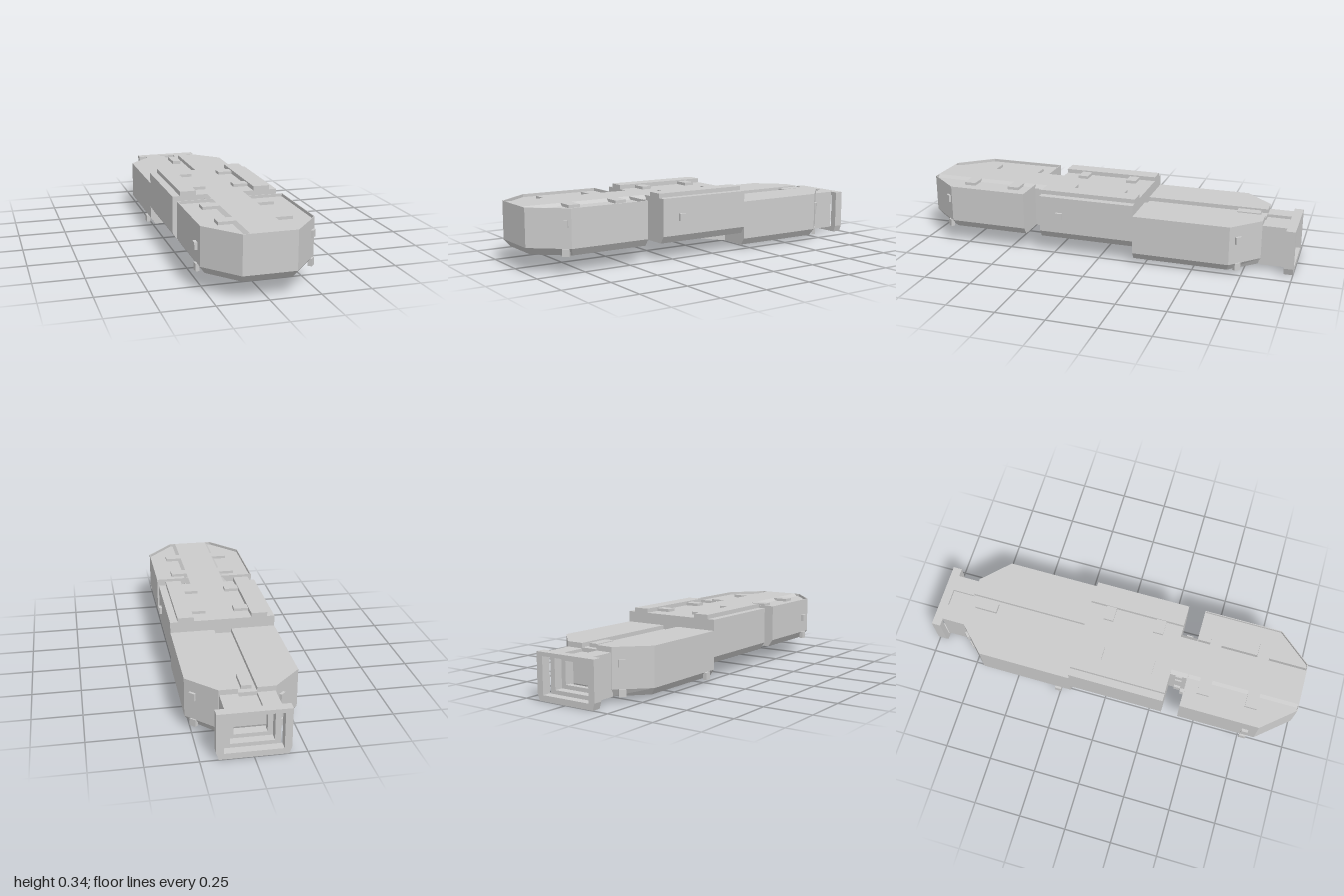
import * as THREE from 'three';

const mat = new THREE.MeshStandardMaterial({ color: 0xcccccc, flatShading: true, side: THREE.DoubleSide });

export function createModel() {
  const model = new THREE.Group();
  const add = (name, geo) => {
    const m = new THREE.Mesh(geo, mat);
    m.name = name;
    model.add(m);
    return m;
  };
  const box = (name, x0, x1, y0, y1, z0, z1) =>
    add(name, new THREE.BoxGeometry(x1 - x0, y1 - y0, z1 - z0)
      .translate((x0 + x1) / 2, (y0 + y1) / 2, (z0 + z1) / 2));

  // Closed body from horizontal [y, outline] rings, listed bottom to top
  const loft = (name, rings) => {
    const n = rings[0][1].length, pos = [], idx = [];
    for (const [y, pts] of rings) for (const [x, z] of pts) pos.push(x, y, z);
    for (let k = 0; k < rings.length - 1; k++)
      for (let i = 0; i < n; i++) {
        const a = k * n + i, b = k * n + (i + 1) % n;
        idx.push(a, a + n, b, b, a + n, b + n);
      }
    const t = (rings.length - 1) * n;
    for (let i = 1; i < n - 1; i++) idx.push(0, i, i + 1, t, t + i + 1, t + i);
    const g = new THREE.BufferGeometry();
    g.setAttribute('position', new THREE.Float32BufferAttribute(pos, 3));
    g.setIndex(idx);
    const flat = g.toNonIndexed();
    flat.computeVertexNormals();
    return add(name, flat);
  };
  const front = (w, tipW, zSide, zTip, zBack = 0.41) =>
    [[w, zBack], [w, zSide], [tipW, zTip], [-tipW, zTip], [-w, zSide], [-w, zBack]];
  const rear = (w, tipW, zSide, zTip) =>
    [[w, zSide], [w, -0.19], [-w, -0.19], [-w, zSide], [-tipW, zTip], [tipW, zTip]];
  const rect = (x0, x1, z0, z1) => [[x1, z0], [x1, z1], [x0, z1], [x0, z0]];

  // Front section with a sunken deck inside a thin rim
  const nose = front(0.275, 0.13, 0.83, 1), deck = front(0.271, 0.128, 0.828, 0.996, 0.414);
  loft('frontBody', [[0.088, front(0.25, 0.118, 0.815, 0.97)], [0.125, nose],
    [0.318, nose], [0.318, deck], [0.303, deck]]);
  loft('centreStrip', [[0.3, rect(-0.115, 0.115, 0.3, 0.998)], [0.318, rect(-0.095, 0.095, 0.3, 0.998)]]);
  box('neck', -0.11, 0.11, 0.088, 0.303, 0.3, 0.43);

  // Middle section
  const mid = rect(-0.275, 0.275, -0.19, 0.32);
  loft('middleBody', [[0.088, rect(-0.25, 0.25, -0.19, 0.32)], [0.125, mid], [0.318, mid]]);

  // Sloping underside between the middle and rear sections
  const ramp = new THREE.Shape([[-0.18, 0.09], [0.19, 0.024], [0.19, 0.09]].map(p => new THREE.Vector2(...p)));
  add('underRamp', new THREE.ExtrudeGeometry(ramp, { depth: 0.22, bevelEnabled: false })
    .rotateY(Math.PI / 2).translate(-0.11, 0, 0));

  // Rear section with a channel along the top
  const hull = rear(0.275, 0.135, -0.69, -0.83);
  loft('rearBody', [[0.024, rear(0.25, 0.123, -0.68, -0.815)], [0.06, hull], [0.24, hull]]);
  const half = [[0.275, -0.69], [0.275, -0.19], [0.045, -0.19], [0.045, -0.83], [0.135, -0.83]];
  loft('rearTopLeft', [[0.24, half], [0.261, half]]);
  const mirrored = half.map(([x, z]) => [-x, z]).reverse();
  loft('rearTopRight', [[0.24, mirrored], [0.261, mirrored]]);
  box('channelLatch', -0.025, 0.025, 0.24, 0.259, -0.8, -0.68);

  // Hollow tail connector and its flange
  const frame = (name, outline, w, y0, y1, z0, z1) => {
    const s = new THREE.Shape(outline.map(p => new THREE.Vector2(...p)));
    s.holes.push(new THREE.Path([[-w, y0], [-w, y1], [w, y1], [w, y0]].map(p => new THREE.Vector2(...p))));
    add(name, new THREE.ExtrudeGeometry(s, { depth: z1 - z0, bevelEnabled: false }).translate(0, 0, z0));
  };
  frame('tailConnector', [[-0.132, 0.025], [0.132, 0.025], [0.132, 0.235], [0.045, 0.235], [0.045, 0.22],
    [-0.045, 0.22], [-0.045, 0.235], [-0.132, 0.235]], 0.105, 0.05, 0.205, -0.955, -0.82);
  frame('tailInnerFrame', [[-0.11, 0.04], [0.11, 0.04], [0.11, 0.21], [-0.11, 0.21]],
    0.08, 0.07, 0.185, -0.91, -0.88);
  frame('tailFlange', [[-0.163, 0], [0.163, 0], [0.175, 0.035], [0.175, 0.235], [-0.175, 0.235], [-0.175, 0.035]],
    0.14, 0.03, 0.215, -1, -0.953);

  // Rails and deck tabs on both sides
  for (const s of [-1, 1]) {
    const pair = (name, a, b, y0, y1, z0, z1) =>
      box(name, Math.min(s * a, s * b), Math.max(s * a, s * b), y0, y1, z0, z1);
    pair('rail', 0.152, 0.236, 0.31, 0.34, -0.19, 0.32);
    for (const z of [-0.075, 0.2]) pair('middleTab', 0.076, 0.155, 0.31, 0.333, z - 0.027, z + 0.027);
    for (const z of [0.51, 0.765]) pair('frontTab', 0.095, 0.182, 0.3, 0.318, z - 0.031, z + 0.031);
    // Small lugs in the waist
    for (const y of [0.11, 0.22, 0.28]) pair('neckLug', 0.1, 0.122, y - 0.018, y + 0.018, 0.35, 0.385);
  }

  // Small lugs on the hull sides: x, y, z, turn
  const lugs = [
    [0.28, 0.218, 0.21, 0], [-0.28, 0.21, 0.77, 0], [-0.275, 0.107, 0.77, 0], [-0.277, 0.041, -0.26, 0],
    [0.255, 0.245, 0.855, -0.7], [0.255, 0.106, 0.85, -0.7],
    [0.24, 0.185, -0.728, 0.78], [0.235, 0.043, -0.725, 0.78],
    [-0.17, 0.185, -0.8, -0.78], [-0.167, 0.043, -0.795, -0.78], [-0.165, 0.22, 0.406, 0],
  ];
  for (const [x, y, z, turn] of lugs) {
    const lug = add('sideLug', new THREE.BoxGeometry(0.02, 0.037, 0.034));
    lug.position.set(x, y, z);
    lug.rotation.y = turn;
  }
  return model;
}
